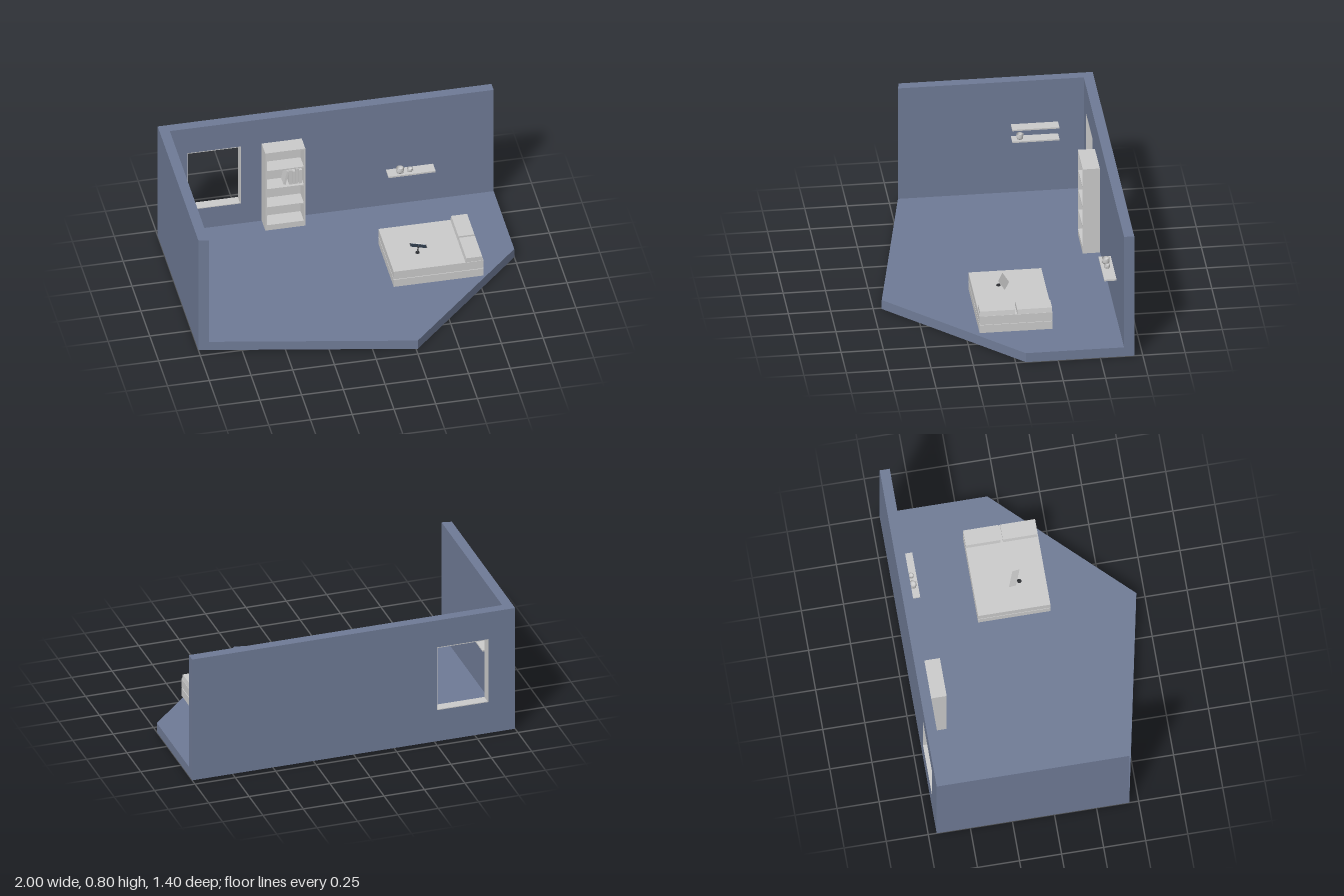
import * as THREE from 'three';

const grey = new THREE.MeshStandardMaterial({ color: 0xcccccc });
const greyOpen = new THREE.MeshStandardMaterial({ color: 0xcccccc, side: THREE.DoubleSide });
const blue = new THREE.MeshStandardMaterial({ color: 0x6f7b96 });
const dark = new THREE.MeshStandardMaterial({ color: 0x2a2c30 });
const glass = new THREE.MeshStandardMaterial({ color: 0x50647c });

function add(parent, name, geometry, material = grey) {
  const mesh = new THREE.Mesh(geometry, material);
  mesh.name = name;
  parent.add(mesh);
  return mesh;
}

// Box given by its two extreme corners
function box(parent, name, [x0, y0, z0], [x1, y1, z1], material = grey) {
  const mesh = add(parent, name, new THREE.BoxGeometry(x1 - x0, y1 - y0, z1 - z0), material);
  mesh.position.set((x0 + x1) / 2, (y0 + y1) / 2, (z0 + z1) / 2);
  return mesh;
}

// Upright prism over a plan outline of [x, z] points
function prism(parent, name, plan, y0, y1, material) {
  const shape = new THREE.Shape(plan.map(([x, z]) => new THREE.Vector2(x, -z)));
  const geo = new THREE.ExtrudeGeometry(shape, { depth: y1 - y0, bevelEnabled: false });
  geo.rotateX(-Math.PI / 2).translate(0, y0, 0);
  return add(parent, name, geo, material);
}

function group(parent, name) {
  const g = new THREE.Group();
  g.name = name;
  parent.add(g);
  return g;
}

// Open cup with a ring handle
function cup(parent, x, y, z, r, h, turn) {
  const g = group(parent, 'cup');
  const profile = [[0, 0], [r * 0.85, 0], [r, h * 0.3], [r, h], [r * 0.85, h], [r * 0.85, h * 0.2], [0, h * 0.15]];
  add(g, 'cupBody', new THREE.LatheGeometry(profile.map(p => new THREE.Vector2(...p)), 20), greyOpen);
  const handle = add(g, 'cupHandle', new THREE.TorusGeometry(h * 0.28, h * 0.07, 6, 14, Math.PI));
  handle.rotation.z = -Math.PI / 2;
  handle.position.set(r * 0.95, h * 0.52, 0);
  g.position.set(x, y, z);
  g.rotation.y = turn;
}

function buildRoom(root) {
  const room = group(root, 'room');
  prism(room, 'floor', [[-1, 0.445], [0.26, 0.7], [1, -0.06], [1, -0.7], [-1, -0.7]], 0, 0.06, blue);
  prism(room, 'sideWall', [[-1, 0.445], [-0.94, 0.457], [-0.94, -0.64], [-1, -0.64]], 0.06, 0.8, blue);

  // Back wall with the window opening
  const [l, r, b, t] = [-0.835, -0.515, 0.205, 0.622];
  const rect = (C, x0, x1, y0, y1) => new C([[x0, y0], [x1, y0], [x1, y1], [x0, y1]].map(p => new THREE.Vector2(...p)));
  const wall = rect(THREE.Shape, -1, 1, 0.06, 0.8);
  wall.holes.push(rect(THREE.Path, l, r, b, t));
  const geo = new THREE.ExtrudeGeometry(wall, { depth: 0.06, bevelEnabled: false });
  add(room, 'backWall', geo, blue).position.z = -0.7;

  // Thin lining around the opening
  const e = 0.005;
  box(room, 'windowSill', [l, b, -0.7], [r, b + e, -0.64]);
  box(room, 'windowHead', [l, t - e, -0.7], [r, t, -0.64]);
  box(room, 'windowJamb', [l, b + e, -0.7], [l + e, t - e, -0.64]);
  box(room, 'windowJamb', [r - e, b + e, -0.7], [r, t - e, -0.64]);
}

function buildBookcase(root) {
  const g = group(root, 'bookcase');
  const [x0, x1, y0, y1, z0, z1] = [-0.39, -0.15, 0.062, 0.625, -0.638, -0.537];
  const t = 0.009;
  box(g, 'bookcaseBack', [x0 + t, y0, z0], [x1 - t, y1 - t, z0 + 0.006]);
  box(g, 'bookcaseSide', [x0, y0, z0], [x0 + t, y1, z1]);
  box(g, 'bookcaseSide', [x1 - t, y0, z0], [x1, y1, z1]);
  box(g, 'bookcaseTop', [x0 + t, y1 - t, z0], [x1 - t, y1, z1]);
  box(g, 'bookcasePlinth', [x0 + t, y0, z0 + 0.006], [x1 - t, 0.1, z1]);
  for (const y of [0.225, 0.357, 0.489])
    box(g, 'bookcaseShelf', [x0 + t, y - t / 2, z0 + 0.006], [x1 - t, y + t / 2, z1 - 0.002]);

  // Upright books and one leaning against them
  const base = 0.362;
  [0.102, 0.093, 0.106, 0.096].forEach((h, i) => {
    const x = -0.243 + i * 0.02;
    box(g, 'book', [x, base, -0.625], [x + 0.017, base + h, -0.555]);
  });
  const leaning = box(g, 'leaningBook', [-0.267, base + 0.003, -0.625], [-0.254, base + 0.098, -0.555]);
  leaning.rotation.z = -0.22;
}

function buildShelves(root) {
  const side = group(root, 'sideWallShelves');
  for (const y of [0.427, 0.506])
    box(side, 'shelfBoard', [-0.94, y, -0.488], [-0.87, y + 0.009, -0.21]);
  cup(side, -0.905, 0.436, -0.258, 0.02, 0.032, Math.PI / 2 + 0.4);

  const back = group(root, 'backWallShelf');
  box(back, 'shelfBoard', [0.355, 0.307, -0.64], [0.637, 0.317, -0.568]);
  cup(back, 0.43, 0.317, -0.602, 0.023, 0.031, -1);
  cup(back, 0.49, 0.317, -0.602, 0.017, 0.019, -0.4);
}

function buildBed(root) {
  const bed = group(root, 'bed');
  const [x0, x1, z0, z1] = [0.226, 0.764, -0.246, 0.184];
  box(bed, 'bedBase', [x0, 0.081, z0], [x1, 0.132, z1]);
  box(bed, 'bedGap', [x0 + 0.005, 0.132, z0 + 0.005], [x1 - 0.005, 0.139, z1 - 0.005]);
  box(bed, 'mattress', [x0, 0.139, z0], [x1, 0.191, z1]);

  // Pillows, slightly narrowed at the top
  for (const z of [-0.142, 0.078]) {
    const geo = new THREE.BoxGeometry(0.106, 0.029, 0.206);
    const p = geo.attributes.position;
    for (let i = 0; i < p.count; i++)
      if (p.getY(i) > 0) p.setX(i, p.getX(i) * 0.9);
    geo.computeVertexNormals();
    add(bed, 'pillow', geo).position.set(0.709, 0.2055, z);
  }
}

// Small screen leaning forward over a dark stand
function buildScreen(root) {
  const g = group(root, 'tiltedScreen');
  g.position.set(0.42, 0.191, -0.02);
  g.rotation.y = -0.37;
  const panel = group(g, 'screenPanel');
  panel.rotation.x = 0.63;
  box(panel, 'screenBack', [-0.05, 0.003, -0.002], [0.05, 0.071, 0.001]);
  box(panel, 'screenFace', [-0.047, 0.006, 0.001], [0.047, 0.068, 0.002], glass);
  const foot = add(g, 'standFoot', new THREE.CylinderGeometry(0.012, 0.013, 0.005, 16), dark);
  foot.position.set(0, 0.0025, 0.052);
  const arm = new THREE.LineCurve3(new THREE.Vector3(0, 0.004, 0.05), new THREE.Vector3(0, 0.028, 0.022));
  add(g, 'standArm', new THREE.TubeGeometry(arm, 1, 0.004, 8), dark);
}

export function createModel() {
  const root = new THREE.Group();
  root.name = 'bedroom';
  buildRoom(root);
  buildBookcase(root);
  buildShelves(root);
  buildBed(root);
  buildScreen(root);
  return root;
}
